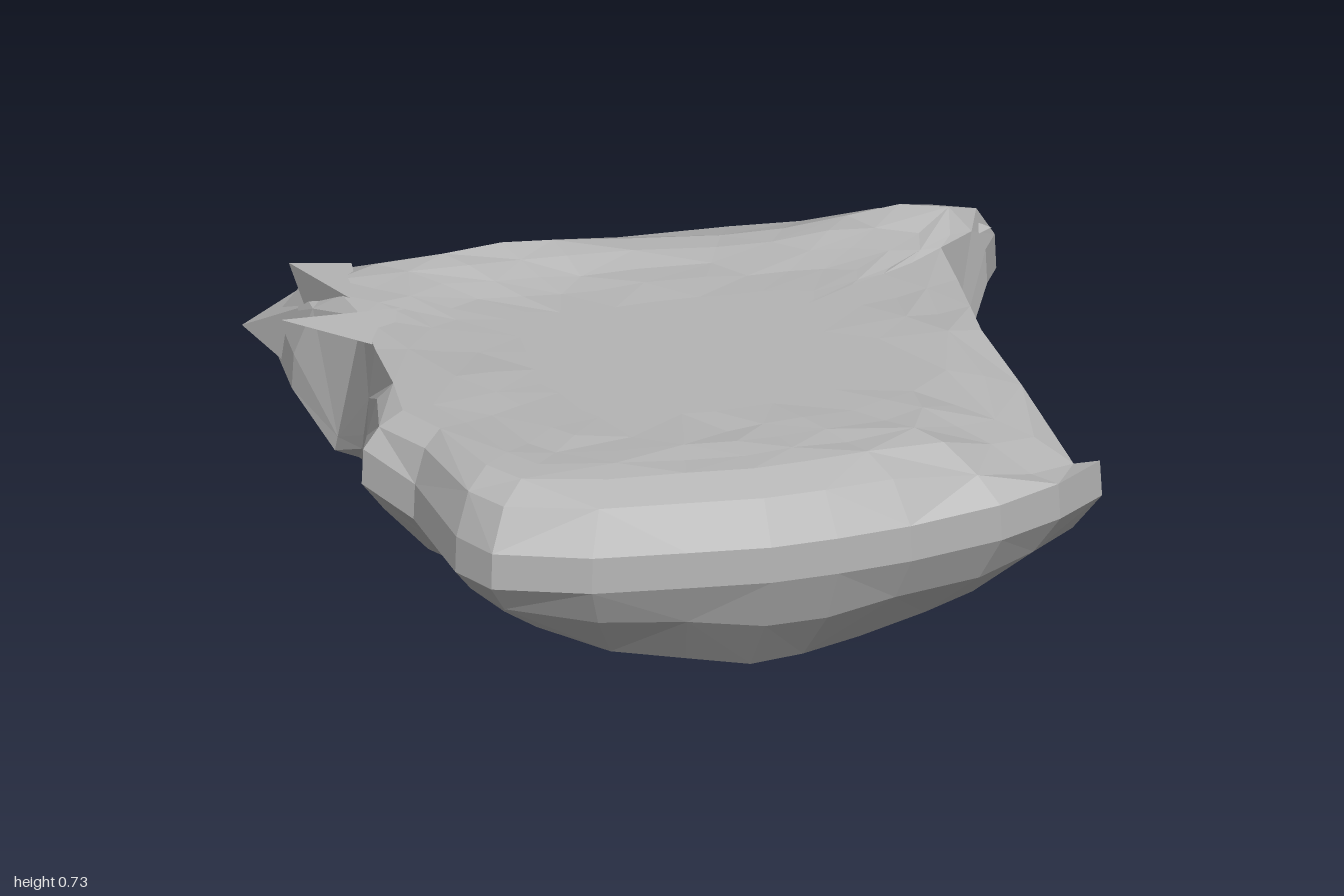
import * as THREE from 'three';

const stone = new THREE.MeshStandardMaterial({ color: 0xb4b4b4, flatShading: true, side: THREE.DoubleSide });
stone.name = 'grey stone';

// Plan outline, front centre round to the right:
// x, z, height of widest point, top rim inset, optional undercut
const outline = [
  [0.07, 0.835, 0.43, 0.80], [0.25, 0.82, 0.43, 0.80], [0.45, 0.79, 0.43, 0.81], [0.70, 0.74, 0.44, 0.82],
  [0.87, 0.67, 0.45, 0.82], [1.00, 0.58, 0.46, 0.84], [0.96, 0.30, 0.32, 0.89], [0.88, 0.02, 0.22, 0.91],
  [0.85, -0.12, 0.18, 0.94], [0.93, -0.32, 0.16, 0.86], [0.81, -0.46, 0.17, 0.98], [0.94, -0.56, 0.52, 0.88, 0.87],
  [0.99, -0.68, 0.50, 0.85, 0.88], [0.90, -0.78, 0.50, 0.80, 0.96], [0.77, -0.84, 0.49, 0.76], [0.53, -0.81, 0.49, 0.78],
  [0.33, -0.84, 0.49, 0.76], [0.00, -0.81, 0.49, 0.78], [-0.25, -0.765, 0.48, 0.80], [-0.42, -0.77, 0.48, 0.80],
  [-0.60, -0.745, 0.48, 0.82], [-0.80, -0.78, 0.48, 0.83], [-0.92, -0.70, 0.46, 0.85], [-0.90, -0.58, 0.40, 0.87],
  [-0.82, -0.42, 0.25, 0.92], [-0.79, -0.22, 0.35, 0.96], [-0.83, 0.00, 0.44, 0.91], [-0.88, 0.19, 0.50, 0.87],
  [-0.77, 0.32, 0.45, 0.90], [-0.72, 0.60, 0.43, 0.86], [-0.65, 0.72, 0.43, 0.84], [-0.40, 0.80, 0.43, 0.81],
  [-0.15, 0.82, 0.43, 0.80],
];
const lerp = THREE.MathUtils.lerp;

let seed = 7;
const jitter = (a) => {
  seed = (seed * 16807) % 2147483647;
  return (seed / 2147483647 - 0.5) * 2 * a;
};

// Nearly level top with a wavy ridge along the back, dropping at the front right corner
function topHeight(x, z) {
  const ridge = (0.034 + 0.025 * Math.cos(5.5 * x + 1.6)) * Math.exp(-(((z + 0.62) / 0.13) ** 2));
  const corner = 0.8 * Math.max(0, x - 0.55) * Math.max(0, z - 0.1);
  return 0.645 + ridge - corner;
}

// Belly hangs lowest near the front and rises to the back and sides
function bellyHeight(x, z) {
  const along = z > 0 ? 0.06 - 0.12 * Math.min(z, 0.5) : z > -0.38 ? 0.06 - 0.1 * z : 0.1 + 0.45 * (-0.38 - z);
  const across = x < 0.1 ? 0.24 * (0.1 - x) : 0.18 * (x - 0.1);
  return Math.hypot(along, across) - 0.01;
}

function column([x, z, mid, inset, under = 1], i) {
  const pts = [];
  const add = (f, y) => pts.push([x * f, y, z * f]);
  // upper surface
  for (const f of [0, 0.5, 0.66, 0.78, 0.89, 1]) {
    const k = f * inset;
    add(k, topHeight(x * k, z * k) + (f > 0.6 ? jitter(0.006) : 0));
  }
  // rounded shoulder, or a plain slanting face where the flank is cut away
  const cut = mid < 0.4;
  const f = lerp(1, inset, cut ? 0.5 : 0.42);
  add(f, lerp(mid, topHeight(x * f, z * f), cut ? 0.5 : 0.8));
  add(cut ? lerp(1, inset, 0.1) : 0.995, mid + (cut ? 0.04 : 0.06));
  add(1, mid - (cut ? 0 : 0.04));
  // underside, ending at a ragged opening that reaches less far to the front right
  for (const [g, k] of [[0.93 * under, under < 0.9 ? 0.8 : 0.46], [0.77 * Math.sqrt(under), 0.85], [0.62, 1]]) {
    const h = g + (g < 0.78 ? jitter(0.02) : 0);
    add(h, Math.max(0, lerp(mid, bellyHeight(x * h, z * h), k) + jitter(0.01)));
  }
  const e = (x > 0.3 && z > -0.2 ? 0.38 : 0.45) + (i % 2 ? 0.06 : -0.04) + jitter(0.05);
  add(e, bellyHeight(x * e, z * e) + 0.02);
  return pts;
}

function meshFrom(name, positions, index) {
  const g = new THREE.BufferGeometry();
  g.setAttribute('position', new THREE.Float32BufferAttribute(positions, 3));
  g.setIndex(index);
  g.computeVertexNormals();
  const mesh = new THREE.Mesh(g, stone);
  mesh.name = name;
  return mesh;
}

export function createModel() {
  const group = new THREE.Group();
  group.name = 'stoneSlab';

  // Main shell
  const columns = outline.map(column);
  const n = columns.length, m = columns[0].length;
  const index = [];
  for (let i = 0; i < n; i++) {
    for (let j = 0; j < m - 1; j++) {
      const a = i * m + j, b = ((i + 1) % n) * m + j;
      if (j === 0) index.push(a, a + 1, b + 1);
      else if ((i + j) % 2) index.push(a, a + 1, b + 1, a, b + 1, b);
      else index.push(a, a + 1, b, b, a + 1, b + 1);
    }
  }
  group.add(meshFrom('slabShell', columns.flat(2), index));

  // Broken splinters on the corners: tip followed by three base corners
  const splinters = [
    [[-0.98, 0.685, -0.34], [-0.62, 0.645, -0.42], [-0.76, 0.64, -0.24], [-0.74, 0.6, -0.34]],
    [[-0.91, 0.73, -0.57], [-0.72, 0.655, -0.68], [-0.74, 0.64, -0.47], [-0.86, 0.58, -0.6]],
    [[-1.0, 0.48, -0.73], [-0.82, 0.56, -0.77], [-0.88, 0.58, -0.6], [-0.85, 0.36, -0.6]],
    [[0.96, 0.62, -0.6], [0.8, 0.69, -0.62], [0.82, 0.62, -0.5], [0.93, 0.58, -0.7]],
  ];
  for (const s of splinters) {
    group.add(meshFrom('splinter', s.flat(), [0, 1, 2, 0, 2, 3, 0, 3, 1]));
  }
  return group;
}
